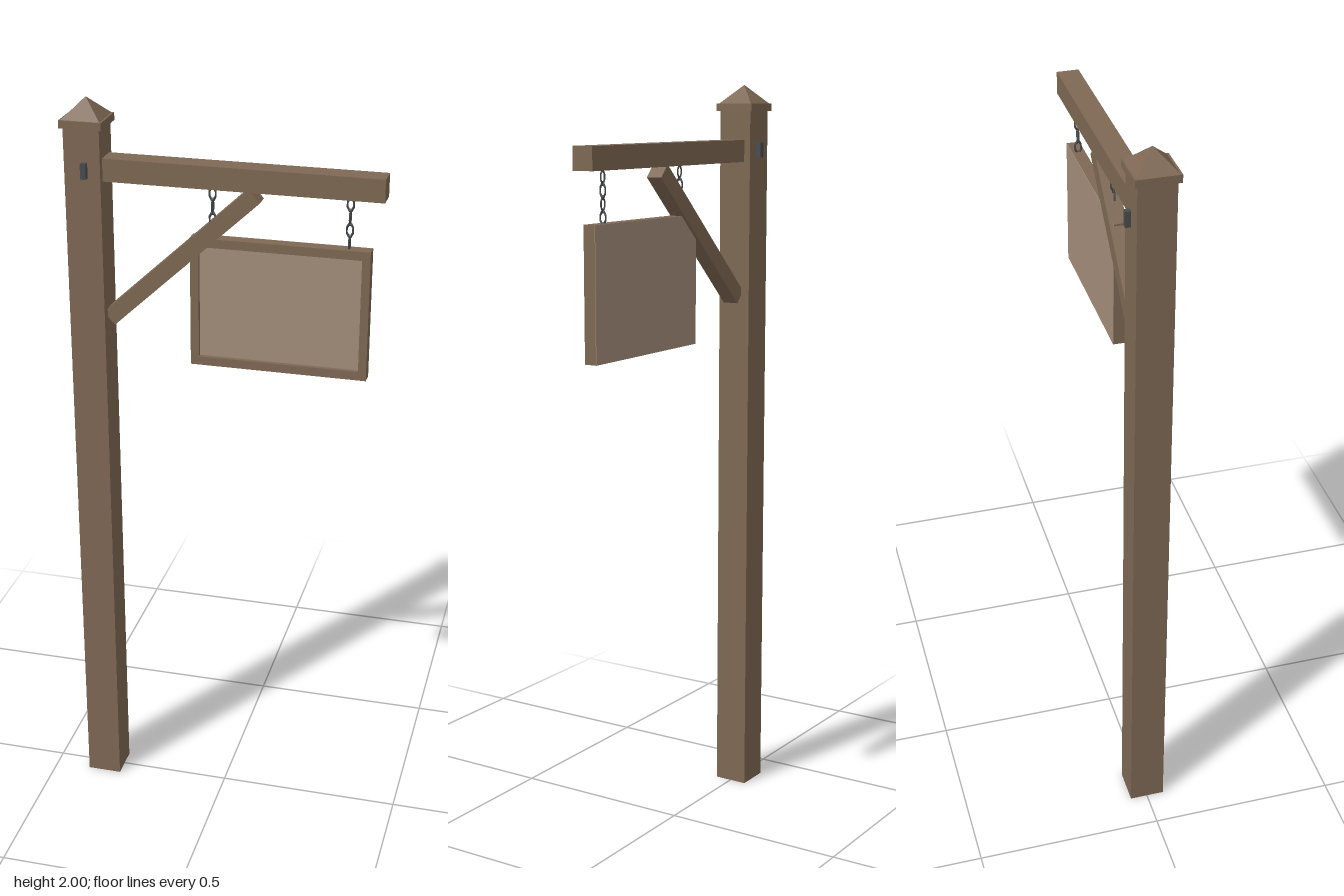
import * as THREE from 'three';

export function createModel() {
  const group = new THREE.Group();
  const mat = (name, color) => Object.assign(new THREE.MeshStandardMaterial({ color, flatShading: true }), { name });
  const wood = mat('brown wood', 0x7e6854);
  const board = mat('pale board', 0xa38d79);
  const iron = mat('dark iron', 0x484b4e);

  const add = (name, geo, material, x, y, z) => {
    const mesh = new THREE.Mesh(geo, material);
    mesh.name = name;
    mesh.position.set(x, y, z);
    group.add(mesh);
    return mesh;
  };
  // Box given by its limits on each axis
  const box = (name, material, x0, x1, y0, y1, z0, z1) =>
    add(name, new THREE.BoxGeometry(x1 - x0, y1 - y0, z1 - z0), material, (x0 + x1) / 2, (y0 + y1) / 2, (z0 + z1) / 2);

  // Post with a square cap and pyramid top
  const px = -0.354;
  box('post', wood, px - 0.047, px + 0.047, 0, 1.935, -0.047, 0.047);
  box('capPlate', wood, px - 0.055, px + 0.055, 1.93, 1.95, -0.055, 0.055);
  const top = new THREE.ConeGeometry(0.05 * Math.SQRT2, 0.05, 4);
  top.rotateY(Math.PI / 4);
  add('capPyramid', top, wood, px, 1.975, 0);

  // Arm and the peg that fixes it to the post
  box('arm', wood, px + 0.04, 0.406, 1.795, 1.854, -0.029, 0.029);
  box('peg', iron, px - 0.001, px + 0.014, 1.806, 1.846, -0.061, 0.061);

  // Diagonal brace
  const a = new THREE.Vector2(-0.303, 1.427), b = new THREE.Vector2(0.08, 1.784);
  const brace = add('brace', new THREE.BoxGeometry(a.distanceTo(b), 0.044, 0.044), wood, (a.x + b.x) / 2, (a.y + b.y) / 2, 0);
  brace.rotation.z = Math.atan2(b.y - a.y, b.x - a.x);

  // Sign: frame, recessed board and flat back
  const rect = (C, x0, x1, y0, y1) => new C([[x0, y0], [x1, y0], [x1, y1], [x0, y1]].map(p => new THREE.Vector2(...p)));
  const outline = rect(THREE.Shape, -0.085, 0.375, 1.322, 1.665);
  outline.holes.push(rect(THREE.Path, -0.063, 0.354, 1.345, 1.642));
  add('signFrame', new THREE.ExtrudeGeometry(outline, { depth: 0.033, bevelEnabled: false }), wood, 0, 0, -0.012);
  box('signBoard', board, -0.064, 0.355, 1.344, 1.643, -0.012, 0.01);
  box('signBack', board, -0.085, 0.375, 1.322, 1.665, -0.0135, -0.012);

  // Two chains of links turned alternately
  const link = new THREE.TorusGeometry(0.0085, 0.0025, 4, 8);
  link.rotateZ(Math.PI / 8);
  link.scale(1, 1.9, 1);
  for (const x of [-0.03, 0.318]) {
    for (let i = 0; i < 4; i++) {
      const mesh = add('chainLink', link, iron, x, 1.778 - i * 0.033, 0.003);
      mesh.rotation.y = (i % 2) * Math.PI / 2;
    }
  }
  return group;
}
